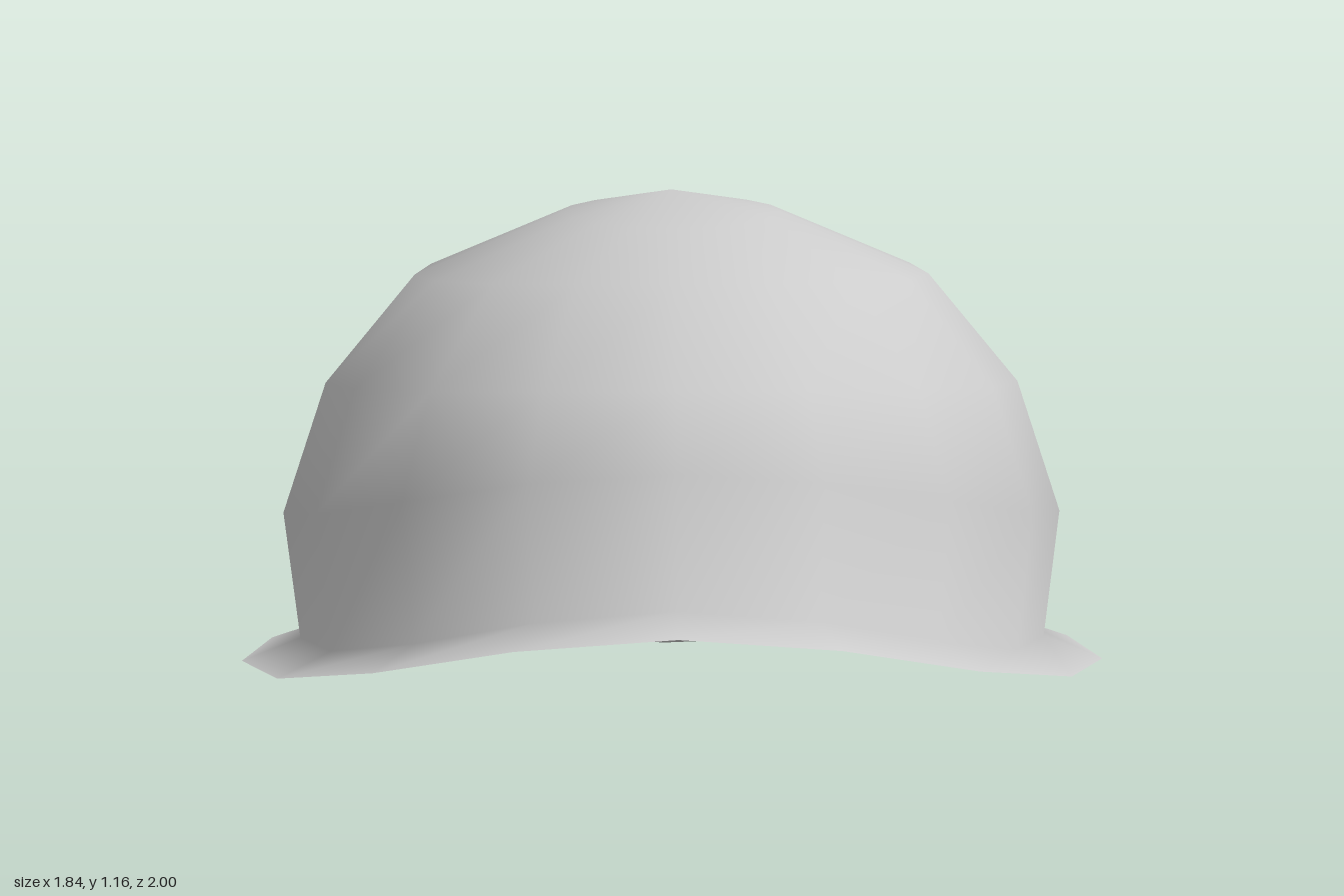
import * as THREE from 'three';

const SIDES = 16;

// Each ring: side point x, y, z; front z, y; back z, y;
// bend = share of the height change that follows a cubic curve.
const RINGS = [
  { x: 0.92, y: 0.165, z: 0, fz: 1, fy: 0.41, bz: -1, by: 0, bend: 0.69, square: 1 },            // brim edge
  { x: 0.795, y: 0.215, z: 0, fz: 0.89, fy: 0.45, bz: -0.89, by: 0.04, bend: 0.65, square: 0.95 }, // foot of dome
  { x: 0.83, y: 0.47, z: -0.09, fz: 0.80, fy: 0.73, bz: -0.92, by: 0.36, bend: 0.3, square: 0.85 },
  { x: 0.74, y: 0.755, z: -0.08, fz: 0.645, fy: 0.88, bz: -0.83, by: 0.685, bend: 0, square: 0.87 },
  { x: 0.55, y: 0.99, z: -0.08, fz: 0.43, fy: 1.07, bz: -0.63, by: 0.955, bend: 0, square: 0.9 },
  { x: 0.23, y: 1.132, z: -0.06, fz: 0.15, fy: 1.135, bz: -0.26, by: 1.125, bend: 0, square: 1 },
];
const CROWN = [0, 1.165, -0.13];

function ringPoint(r, i) {
  const a = (i / SIDES) * Math.PI * 2;
  const c = Math.cos(a), s = Math.sin(a);
  const width = Math.sign(s) * Math.pow(Math.abs(s), c < -1e-6 ? r.square : 1);
  const slope = (1 - r.bend) * c + r.bend * c * c * c;
  const y = r.y + ((r.fy - r.by) / 2) * slope + ((r.fy + r.by) / 2 - r.y) * c * c;
  const z = r.z + (c > 0 ? r.fz - r.z : r.z - r.bz) * c;
  return [r.x * width, y, z];
}

// One smooth skin running from the brim edge up to the crown
function helmetGeometry() {
  const positions = [], index = [];
  for (const r of RINGS) {
    for (let i = 0; i < SIDES; i++) positions.push(...ringPoint(r, i));
  }
  positions.push(...CROWN);
  const crown = RINGS.length * SIDES;
  const last = RINGS.length - 1;
  for (let i = 0; i < SIDES; i++) {
    const j = (i + 1) % SIDES;
    for (let k = 0; k < last; k++) {
      const a = k * SIDES + i, b = k * SIDES + j;
      index.push(a, b, b + SIDES, a, b + SIDES, a + SIDES);
    }
    index.push(last * SIDES + i, last * SIDES + j, crown);
  }
  const geometry = new THREE.BufferGeometry();
  geometry.setAttribute('position', new THREE.Float32BufferAttribute(positions, 3));
  geometry.setIndex(index);
  geometry.computeVertexNormals();
  return geometry;
}

export function createModel() {
  const group = new THREE.Group();
  group.name = 'helmet';
  const lightGrey = new THREE.MeshStandardMaterial({ color: 0xcccccc });
  lightGrey.name = 'lightGrey';
  lightGrey.side = THREE.DoubleSide;
  const shell = new THREE.Mesh(helmetGeometry(), lightGrey);
  shell.name = 'domeAndBrim';
  group.add(shell);
  return group;
}
